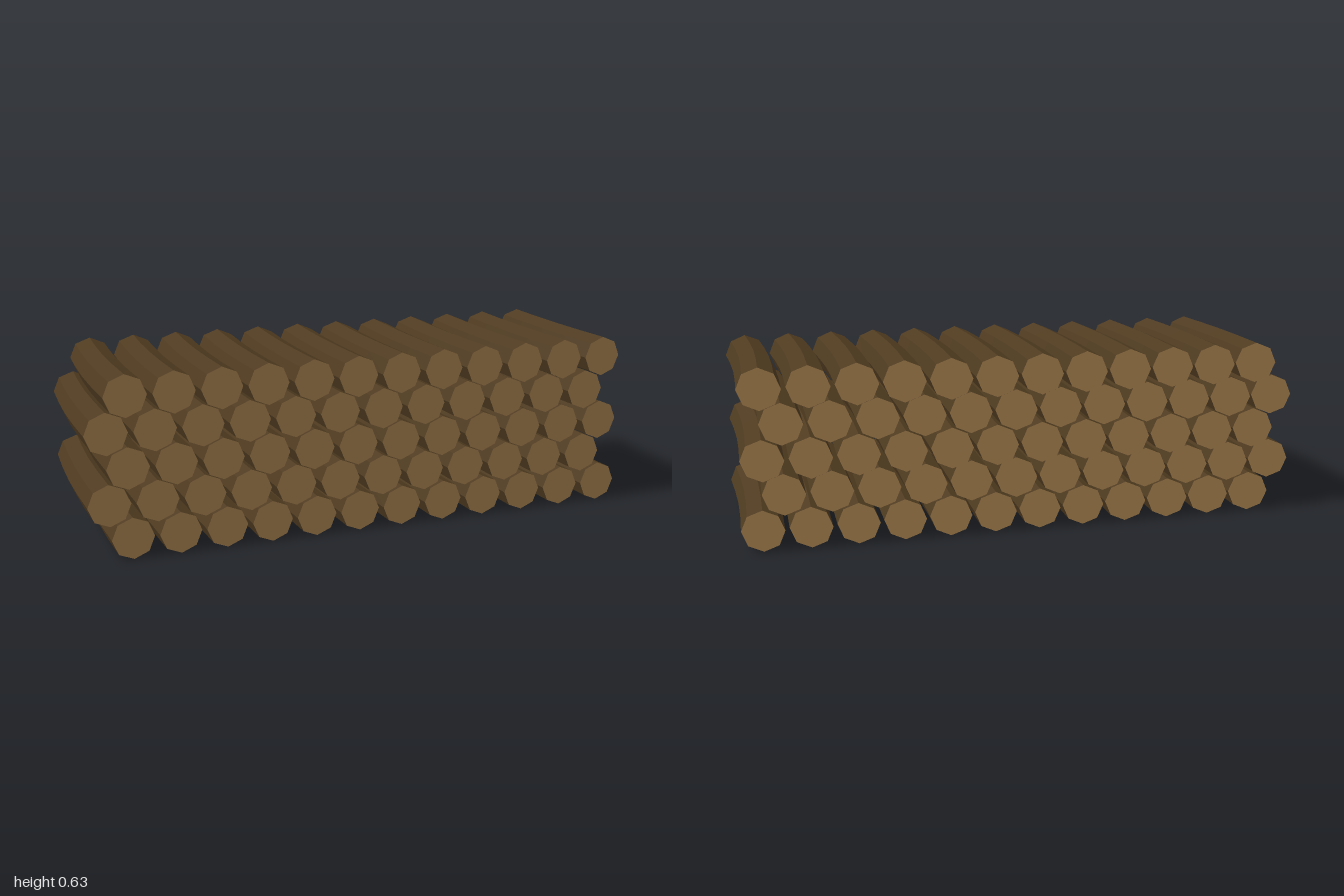
import * as THREE from 'three';

const R = 0.0725;

// One eight-sided log along z, slightly bowed sideways, with obliquely sawn ends
function logGeometry() {
  const geo = new THREE.CylinderGeometry(R, R, 1, 8, 4);
  geo.rotateX(Math.PI / 2);
  const pos = geo.attributes.position;
  for (let i = 0; i < pos.count; i++) {
    const x = pos.getX(i), u = pos.getZ(i) + 0.5; // u: 0 at the back, 1 at the front
    const back = -0.3175 + 0.0125 * x / R;
    const front = 0.329 - 0.003 * x / R;
    const bow = 0.006 * u - 0.01 * Math.sin(Math.PI * u);
    pos.setX(i, x + bow);
    pos.setZ(i, THREE.MathUtils.lerp(back, front, u));
  }
  geo.computeVertexNormals();
  return geo;
}

export function createModel() {
  const group = new THREE.Group();
  group.name = 'logPile';
  const bark = new THREE.MeshStandardMaterial({ color: 0x4f3b20, flatShading: true });
  const cutWood = new THREE.MeshStandardMaterial({ color: 0xa27c4c, flatShading: true });
  const geo = logGeometry();

  // Five staggered rows of twelve logs; each entry is the x of the first log
  const rowStarts = [-0.85, -0.924, -0.857, -0.924, -0.857];
  rowStarts.forEach((x0, r) => {
    const row = new THREE.Group();
    row.name = `logRow${r + 1}`;
    for (let i = 0; i < 12; i++) {
      const log = new THREE.Mesh(geo, [bark, cutWood, cutWood]);
      log.name = 'log';
      log.position.set(x0 + i * 0.161, R + r * 0.1213, 0);
      row.add(log);
    }
    group.add(row);
  });
  return group;
}
